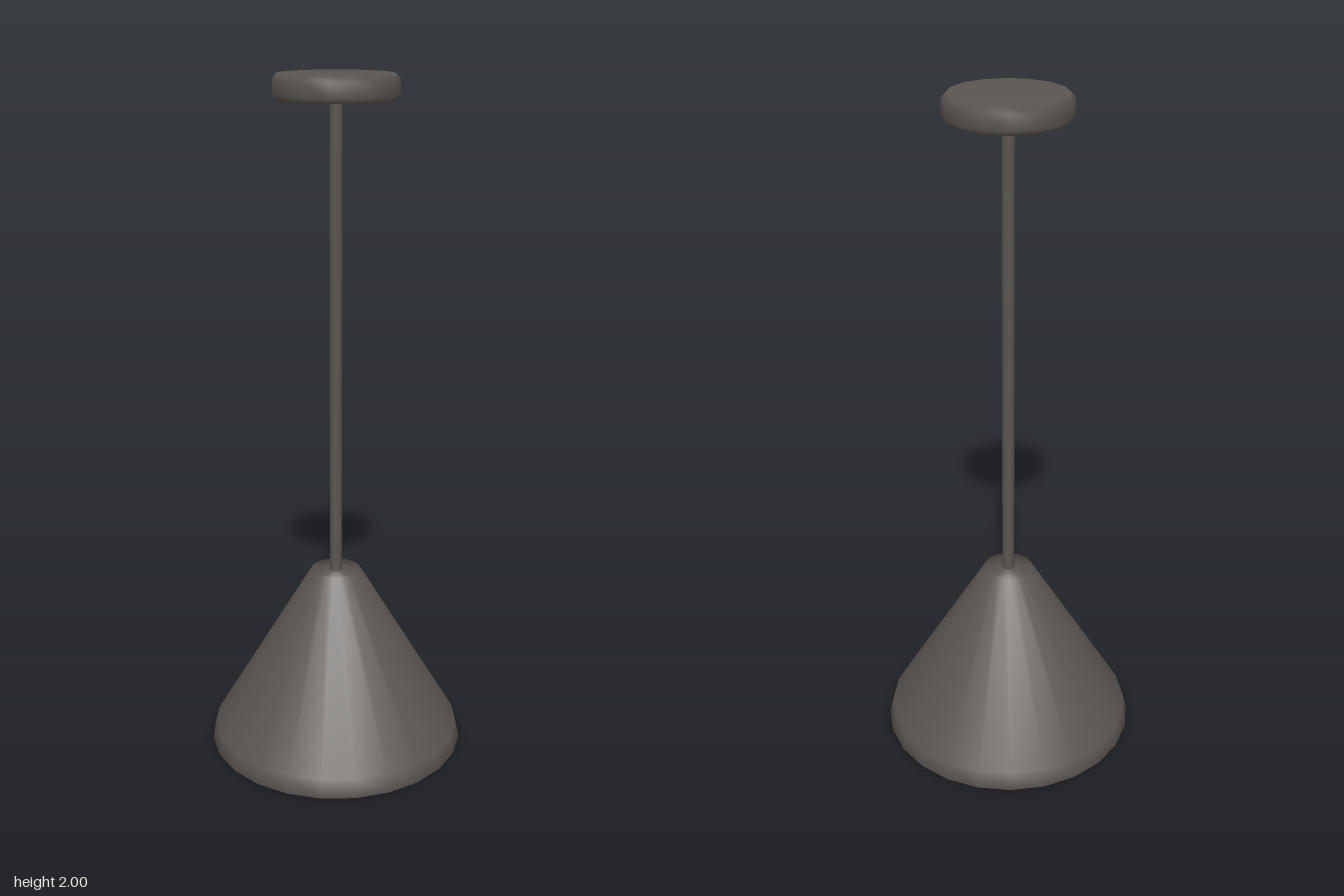
import * as THREE from 'three';

const darkMetal = new THREE.MeshStandardMaterial({ color: 0x5a5551 });
const warmGlass = new THREE.MeshStandardMaterial({ color: 0xfff0cc });

export function createModel() {
  const group = new THREE.Group();
  group.name = 'pendantLamp';

  const add = (name, geometry, material, y = 0) => {
    const mesh = new THREE.Mesh(geometry, material);
    mesh.name = name;
    mesh.position.y = y;
    group.add(mesh);
  };
  const lathe = (points, sides) =>
    new THREE.LatheGeometry(points.map(([r, y]) => new THREE.Vector2(r, y)), sides);

  // Ceiling canopy: a disc with softened edges
  add('ceilingCanopy', lathe([
    [0, 1.93], [0.162, 1.93], [0.175, 1.943], [0.175, 1.985], [0.162, 2], [0, 2],
  ], 16), darkMetal);

  // Hanging rod
  add('rod', new THREE.CylinderGeometry(0.018, 0.018, 1.4, 8), darkMetal, 1.24);

  // Conical shade: inner wall, bottom lip, outer wall and closed top
  add('shade', lathe([
    [0, 0.53], [0.062, 0.53], [0.352, 0.045], [0.365, 0],
    [0.385, 0], [0.372, 0.05], [0.075, 0.55], [0, 0.55],
  ], 24), darkMetal);

  // Bulb and the socket that holds it
  add('socket', new THREE.CylinderGeometry(0.04, 0.04, 0.34, 12), darkMetal, 0.37);
  add('bulb', new THREE.SphereGeometry(0.097, 16, 12), warmGlass, 0.13);

  return group;
}
